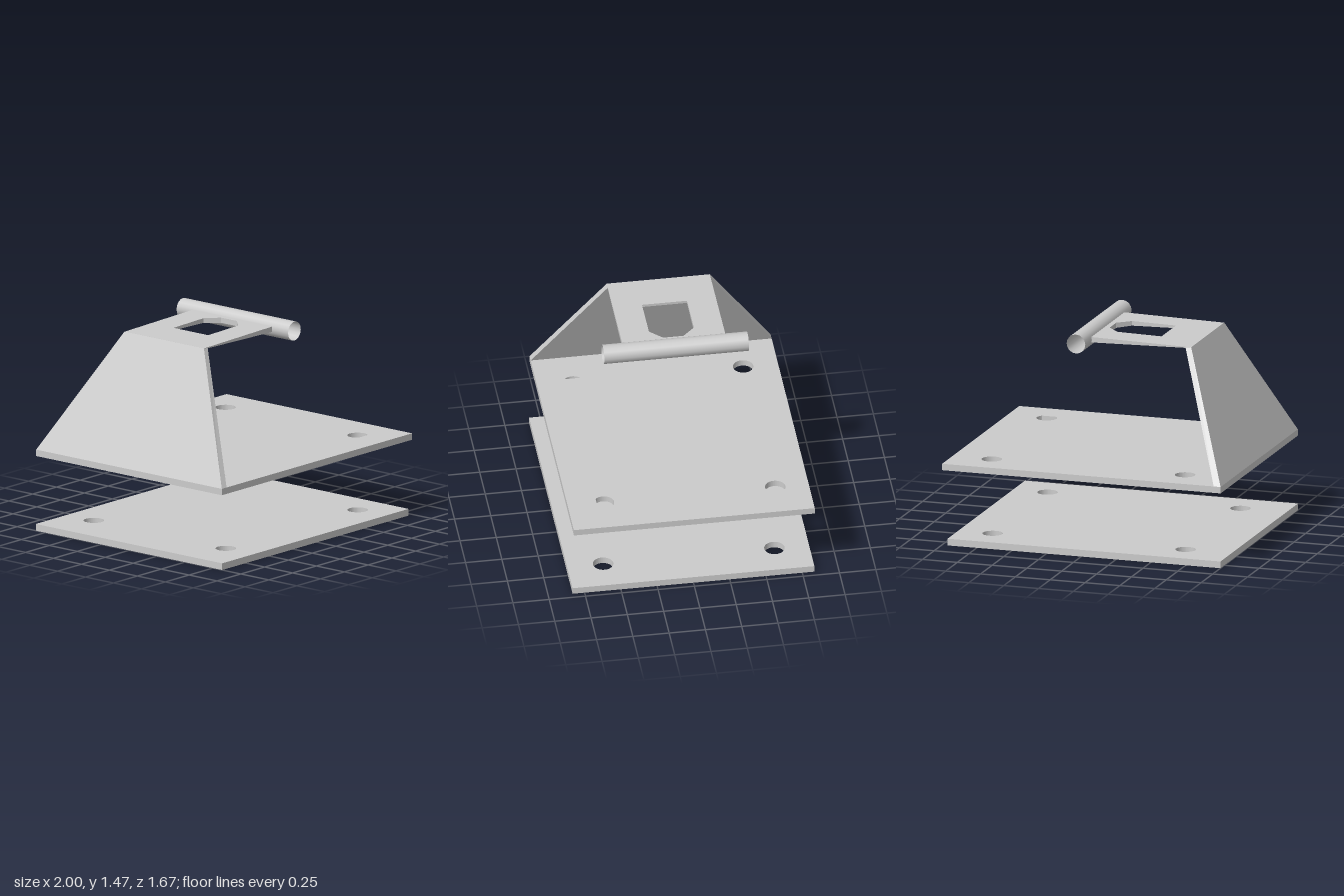
import * as THREE from 'three';

const material = new THREE.MeshStandardMaterial({ color: 0xcccccc, flatShading: true });
const R = 0.07;

function add(group, name, geometry, mat = material) {
  const mesh = new THREE.Mesh(geometry, mat);
  mesh.name = name;
  group.add(mesh);
  return mesh;
}

// Closed arc; a partial sweep is closed by its chord
function arcHole(x, z, from = 0, to = Math.PI * 2) {
  const path = new THREE.Path();
  path.absarc(x, z, R, from, to, false);
  return path;
}

// Horizontal slab: outline drawn in x/z, extruded downwards from the top height
function slab(x0, x1, halfZ, bottom, top, holes) {
  const shape = new THREE.Shape([
    new THREE.Vector2(x0, -halfZ), new THREE.Vector2(x1, -halfZ),
    new THREE.Vector2(x1, halfZ), new THREE.Vector2(x0, halfZ),
  ]);
  shape.holes.push(...holes);
  return new THREE.ExtrudeGeometry(shape, { depth: top - bottom, bevelEnabled: false, curveSegments: 24 })
    .rotateX(Math.PI / 2)
    .translate(0, top, 0);
}

// Leaning wall: a box whose corners follow the slope and taper towards the top
function wallGeometry() {
  const geometry = new THREE.BoxGeometry(1, 1, 1);
  const p = geometry.attributes.position;
  for (let i = 0; i < p.count; i++) {
    const outer = p.getX(i) < 0;
    const upper = p.getY(i) > 0;
    const x = upper ? (outer ? -0.63 : -0.59) : (outer ? -1 : -0.95);
    const y = upper ? (outer ? 1.407 : 1.4) : 0.57;
    p.setXYZ(i, x, y, Math.sign(p.getZ(i)) * (upper ? 0.355 : 0.83));
  }
  geometry.computeVertexNormals();
  return geometry;
}

// Upper shelf: wedge that thickens towards the pipe, with a clipped-corner window
function shelfGeometry() {
  const window = new THREE.Path([
    [-0.35, -0.155], [-0.035, -0.155], [0.05, -0.07],
    [0.05, 0.07], [-0.035, 0.155], [-0.35, 0.155],
  ].map(([x, z]) => new THREE.Vector2(x, z)));
  const geometry = slab(-0.63, 0.09, 0.355, 0, 1, [window]);
  const p = geometry.attributes.position;
  for (let i = 0; i < p.count; i++) {
    const t = (p.getX(i) + 0.63) / 0.72;
    p.setY(i, p.getY(i) > 0.5 ? 1.406 + 0.014 * t : 1.4 - 0.018 * t);
  }
  geometry.computeVertexNormals();
  return geometry;
}

export function createModel() {
  const model = new THREE.Group();
  model.name = 'mountingBracket';

  // Loose base plate with four bolt holes
  const baseHoles = [];
  for (const x of [-0.67, 0.715]) for (const z of [-0.595, 0.585]) baseHoles.push(arcHole(x, z));
  add(model, 'basePlate', slab(-1, 0.96, 0.833, 0, 0.047, baseHoles));

  // Middle plate: two open holes, one narrow slot, one hole mostly closed underneath
  const openHoles = () => [
    arcHole(-0.665, -0.59),
    arcHole(0.72, -0.6),
    arcHole(-0.66, 0.58, Math.PI - 0.873, Math.PI + 0.873),
  ];
  const clipped = arcHole(0.72, 0.58, Math.PI - 0.796, Math.PI * 2 + 0.796);
  const sliver = arcHole(0.72, 0.58, -1.128, 0.796);
  sliver.lineTo(0.75, 0.63);
  const middle = new THREE.Group();
  middle.name = 'middlePlate';
  add(middle, 'middlePlateBody', slab(-1, 1, 0.83, 0.528, 0.57, [...openHoles(), clipped]));
  add(middle, 'middlePlateUnderside', slab(-1, 1, 0.83, 0.525, 0.528, [...openHoles(), sliver]));
  model.add(middle);

  add(model, 'leaningWall', wallGeometry());
  add(model, 'upperShelf', shelfGeometry());

  // Thin open pipe along the shelf edge
  const pipeMaterial = new THREE.MeshStandardMaterial({ color: 0xcccccc, side: THREE.DoubleSide });
  const pipe = new THREE.CylinderGeometry(0.067, 0.067, 0.997, 16, 1, true).rotateX(Math.PI / 2);
  add(model, 'pipe', pipe, pipeMaterial).position.set(0.15, 1.4, 0.002);

  return model;
}
